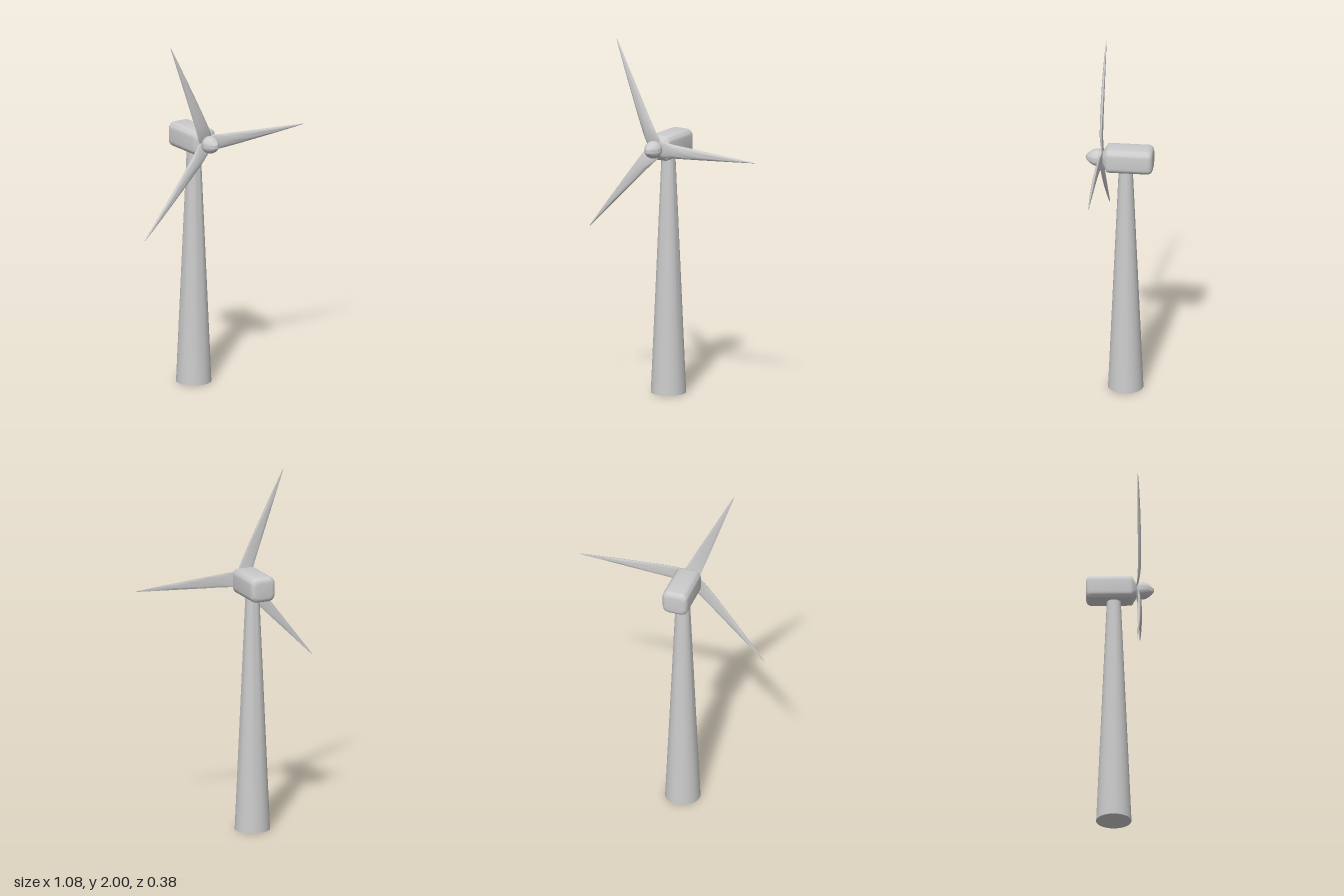
import * as THREE from 'three';
import { toCreasedNormals } from 'three/addons/utils/BufferGeometryUtils.js';

const CX = -0.11, HUB_Y = 1.404;
const material = new THREE.MeshStandardMaterial({ color: 0xcccccc });

function add(parent, name, geometry) {
  const mesh = new THREE.Mesh(geometry, material);
  mesh.name = name;
  parent.add(mesh);
  return mesh;
}

// Skin a closed body through rings of Vector3, with both ends capped
function loft(rings, crease) {
  const n = rings[0].length, last = rings.length - 1;
  const points = rings.flat(), index = [];
  for (let r = 0; r < last; r++) {
    for (let i = 0; i < n; i++) {
      const a = r * n + i, b = r * n + (i + 1) % n;
      index.push(a, b, b + n, a, b + n, a + n);
    }
  }
  for (const r of [0, last]) {
    const centre = new THREE.Vector3();
    rings[r].forEach(p => centre.addScaledVector(p, 1 / n));
    const c = points.push(centre) - 1;
    for (let i = 0; i < n; i++) {
      const a = r * n + i, b = r * n + (i + 1) % n;
      if (r === 0) index.push(c, b, a);
      else index.push(c, a, b);
    }
  }
  const geometry = new THREE.BufferGeometry().setFromPoints(points);
  geometry.setIndex(index);
  return toCreasedNormals(geometry, crease);
}

// Rounded rectangle in the xy plane
function roundedRing(hw, hh, radius, z) {
  const ring = [];
  for (let q = 0; q < 4; q++) {
    const sx = q === 0 || q === 3 ? 1 : -1, sy = q < 2 ? 1 : -1;
    for (let k = 0; k <= 6; k++) {
      const a = (q + k / 6) * Math.PI / 2;
      ring.push(new THREE.Vector3(
        sx * (hw - radius) + radius * Math.cos(a),
        sy * (hh - radius) + radius * Math.sin(a), z));
    }
  }
  return ring;
}

// Blade along +x: flat back, curved front, tapering to a fine tip
function bladeGeometry() {
  // distance, half chord, back z, thickness
  const stations = [
    [0.025, 0.040, -0.012, 0.008], [0.04, 0.045, -0.010, 0.010], [0.07, 0.043, -0.006, 0.013],
    [0.12, 0.039, -0.003, 0.017], [0.20, 0.034, -0.002, 0.018], [0.30, 0.027, -0.002, 0.018],
    [0.42, 0.0185, -0.002, 0.016], [0.54, 0.010, -0.002, 0.011], [0.62, 0.004, -0.002, 0.006],
    [0.649, 0.0015, -0.002, 0.003],
  ];
  const rings = stations.map(([x, chord, back, thick]) => {
    const ring = [];
    for (let i = 0; i < 20; i++) {
      const a = i / 20 * Math.PI * 2, s = Math.sin(a);
      const z = back + thick * (s > 0 ? 0.2 + 0.8 * s : 0.2 + 0.2 * s);
      ring.push(new THREE.Vector3(x, chord * Math.cos(a), z));
    }
    return ring;
  });
  return loft(rings, 0.9);
}

export function createModel() {
  const model = new THREE.Group();
  model.name = 'windTurbine';

  // Tapered tower
  const tower = add(model, 'tower', toCreasedNormals(new THREE.CylinderGeometry(0.038, 0.098, 1.36, 48), 0.8));
  tower.position.set(CX, 0.68, -0.036);

  // Nacelle: softened box with rounded rear and chamfered nose
  const sections = [];
  const R = 0.028;
  for (let k = 0; k <= 5; k++) {
    const a = k / 5 * Math.PI / 2, inset = R * (1 - Math.sin(a));
    sections.push(roundedRing(0.073 - inset, 0.07 - inset, 0.036 - inset * 0.5, -0.19 + R * (1 - Math.cos(a))));
  }
  sections.push(
    roundedRing(0.073, 0.07, 0.036, 0.058),
    roundedRing(0.071, 0.068, 0.036, 0.065),
    roundedRing(0.04, 0.038, 0.034, 0.09),
    roundedRing(0.032, 0.032, 0.031, 0.097));
  const nacelle = add(model, 'nacelle', loft(sections, 0.7));
  nacelle.position.set(CX, HUB_Y, 0);

  // Rotor: pointed spinner and three blades
  const rotor = new THREE.Group();
  rotor.name = 'rotor';
  rotor.position.set(CX, HUB_Y, 0.1);
  model.add(rotor);

  const profile = new THREE.SplineCurve([
    [0.030, -0.012], [0.042, -0.004], [0.048, 0.010], [0.049, 0.022], [0.045, 0.040],
    [0.035, 0.058], [0.022, 0.074], [0.010, 0.084], [0, 0.087],
  ].map(p => new THREE.Vector2(...p))).getPoints(32);
  profile[profile.length - 1].x = 0;
  profile.unshift(new THREE.Vector2(0, -0.012));
  const spinner = add(rotor, 'spinner', toCreasedNormals(new THREE.LatheGeometry(profile, 40), 0.8));
  spinner.rotation.x = Math.PI / 2;

  const blade = bladeGeometry();
  [0, 113, 228.5].forEach((degrees, i) => {
    add(rotor, 'blade' + (i + 1), blade).rotation.z = THREE.MathUtils.degToRad(degrees);
  });

  return model;
}
